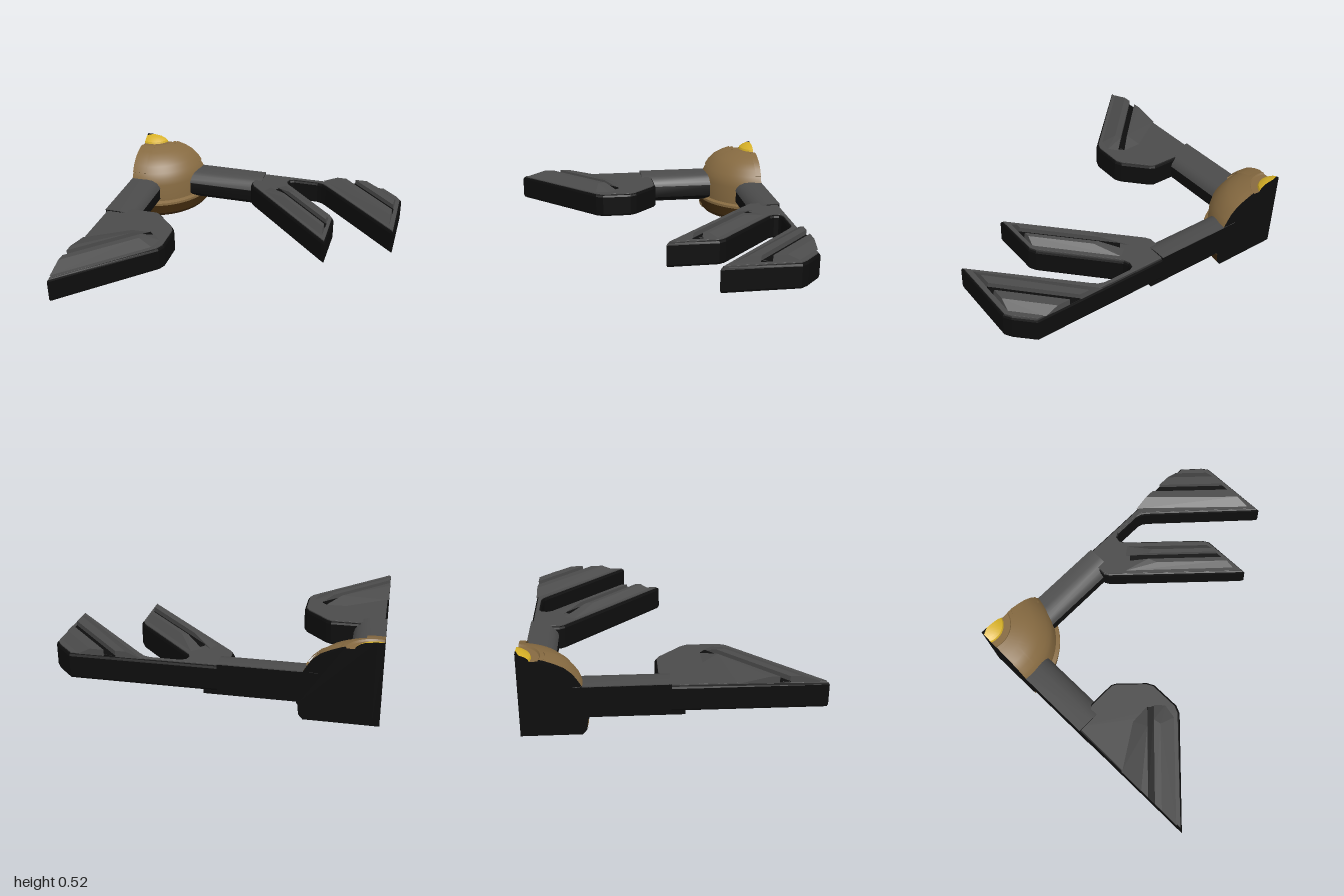
import * as THREE from 'three';
import { toCreasedNormals } from 'three/addons/utils/BufferGeometryUtils.js';
import { ConvexGeometry } from 'three/addons/geometries/ConvexGeometry.js';

const mat = (name, color, side = THREE.FrontSide) => {
  const m = new THREE.MeshStandardMaterial({ color, side });
  m.name = name;
  return m;
};

// The piece is one corner, cut along x = CUT_X and z = CUT_Z
const CUT_X = -1, CUT_Z = -0.89;
const CX = -0.955, CZ = -0.93; // hub axis
const DX = CX - CUT_X, DZ = CUT_Z - CZ;
const V2 = ([x, y]) => new THREE.Vector2(x, y);
const shapeOf = (pts) => new THREE.Shape(pts.map(V2));

// Angles where a circle of radius r meets the two cuts
const cosA = (v) => Math.acos(THREE.MathUtils.clamp(v, -1, 1));
const sinA = (v) => Math.asin(THREE.MathUtils.clamp(v, -1, 1));
const startAngle = (r) => sinA(DZ / r);
const endAngle = (r) => Math.max(startAngle(r), Math.min(cosA(-DX / r), Math.PI - startAngle(r)));

// Lathe whose sweep is bent to stay between two radius-dependent angles
function sector(profile, from = startAngle, to = endAngle, segs = 40) {
  const g = new THREE.LatheGeometry(profile.map(V2), segs, 0, 1);
  const p = g.attributes.position;
  for (let i = 0; i < p.count; i++) {
    const x = p.getX(i), z = p.getZ(i), r = Math.hypot(x, z);
    const t = Math.atan2(x, z);
    const a = to(r) + (from(r) - to(r)) * t;
    p.setXYZ(i, CX + r * Math.cos(a), p.getY(i), CZ + r * Math.sin(a));
  }
  g.computeVertexNormals();
  return toCreasedNormals(g, 0.5);
}

// Horizontal plate from an (x, z) outline
function plate(outline, y0, y1, bevel, inset) {
  const g = new THREE.ExtrudeGeometry(shapeOf(outline), {
    depth: y1 - y0 - 2 * bevel, bevelSize: bevel, bevelThickness: bevel, bevelOffset: -inset, bevelSegments: 2,
  });
  g.rotateX(Math.PI / 2);
  return g.translate(0, y1 - bevel, 0);
}

// Raised block from a foot outline and a smaller top outline, both in (x, z)
function frustum(foot, top, y0, y1) {
  return new ConvexGeometry([
    ...foot.map(([x, z]) => new THREE.Vector3(x, y0, z)),
    ...top.map(([x, z]) => new THREE.Vector3(x, y1, z)),
  ]);
}

export function createModel() {
  const grey = mat('hull grey', 0x4b4b4b);
  const black = mat('black', 0x0d0d0d, THREE.DoubleSide);
  const brown = mat('brown', 0x866a41, THREE.DoubleSide);
  const darkBrown = mat('dark brown', 0x402a0e, THREE.DoubleSide);
  const gold = mat('gold', 0xd6b026, THREE.DoubleSide);
  const model = new THREE.Group();
  const add = (name, geometry, material) => {
    const mesh = new THREE.Mesh(geometry, material);
    mesh.name = name;
    model.add(mesh);
  };

  // Hub: base, dome and cap
  const base = [[0.04, 0], [0.4, 0], [0.425, 0.03], [0.432, 0.1]];
  const dome = [[0.432, 0.1], [0.44, 0.102], [0.44, 0.12], [0.415, 0.13], [0.415, 0.26], [0.405, 0.31], [0.385, 0.345],
    [0.355, 0.39], [0.31, 0.43], [0.255, 0.457], [0.2, 0.478], [0.175, 0.485], [0.168, 0.474], [0.125, 0.474]];
  const cap = [[0.125, 0.474], [0.12, 0.488], [0.1, 0.504], [0.075, 0.516], [0.04, 0.524]];
  add('hubBase', sector(base), darkBrown);
  add('hubDome', sector(dome), brown);
  add('hubCap', sector(cap), gold);

  // Raised panels on the dome, one beside each cut
  const panel = [[0.375, 0.345], [0.39, 0.355], [0.36, 0.4], [0.315, 0.442], [0.26, 0.469], [0.2, 0.487], [0.198, 0.475]];
  add('domePanelSide', sector(panel, startAngle, (r) => sinA(0.08 / r), 6), brown);
  add('domePanelFront', sector(panel, (r) => cosA(0.06 / r), endAngle, 6), brown);
  add('basePatch', sector([[0.428, 0.025], [0.434, 0.06]], (r) => cosA(0.07 / r), endAngle, 6), brown);

  // Closed cut faces of the hub
  const whole = [...base, ...dome, ...cap];
  const backCut = whole.map(([r, y]) => [CX + Math.sqrt(Math.max(0, r * r - DZ * DZ)), y]);
  backCut.push([CUT_X, 0.524], [CUT_X, 0]);
  add('hubBackCut', new THREE.ShapeGeometry(shapeOf(backCut)).translate(0, 0, CUT_Z), black);
  const sideCut = whole.filter(([r]) => r > 0.07)
    .map(([r, y]) => [-(CZ + Math.sqrt(r * r - DX * DX)), y]);
  sideCut.push([-CUT_Z, 0.52], [-CUT_Z, 0]);
  add('hubSideCut', new THREE.ShapeGeometry(shapeOf(sideCut)).rotateY(Math.PI / 2).translate(CUT_X, 0, 0), black);

  // Arms: black core with a rounded grey shell on top
  const arm = (name, width, start, end, alongX) => {
    const w = width;
    const curve = [[0, 0.31], [w - 0.1, 0.31], [w - 0.06, 0.302], [w - 0.03, 0.285], [w - 0.008, 0.26], [w, 0.235]];
    const core = [[0, 0.12], ...curve.map(([o, y]) => [o && o - 0.004, y - 0.004]),
      [w - 0.004, 0.15], [w - 0.03, 0.12]];
    const shell = [...curve, ...curve.map(([o, y]) => [o && o - 0.006, y - 0.006]).reverse()];
    const sweep = (pts, to) => {
      const s = shapeOf(pts.map(([o, y]) => [alongX ? -CUT_Z - o : CUT_X + o, y]));
      const g = new THREE.ExtrudeGeometry(s, { depth: to - start, bevelEnabled: false }).translate(0, 0, start);
      if (alongX) g.rotateY(Math.PI / 2);
      return toCreasedNormals(g, 0.6);
    };
    add(name + 'Core', sweep(core, end), black);
    add(name + 'Shell', sweep(shell, end), grey);
    add(name + 'Keel', sweep([[0, 0.112], [w - 0.04, 0.112], [w - 0.04, 0.135], [0, 0.135]], end + 0.08), black);
  };
  arm('sideArm', 0.185, -0.65, -0.05, true);
  arm('frontArm', 0.21, -0.6, -0.02, false);

  // Forked claw on the side arm and single claw on the front arm
  const fork = [[-0.12, -0.89], [-0.12, -0.7], [-0.1, -0.665], [0.545, -0.02], [0.57, -0.005], [0.57, -0.34],
    [0.545, -0.385], [0.16, -0.77], [0.148, -0.8], [0.155, -0.83], [0.18, -0.842], [0.36, -0.842], [0.395, -0.83],
    [0.43, -0.8], [0.975, -0.268], [0.995, -0.255], [0.995, -0.74], [0.965, -0.785], [0.855, -0.89]];
  const claw = [[-1, -0.06], [-0.87, -0.07], [-0.835, -0.1], [-0.64, -0.1], [-0.605, -0.08], [-0.465, 0.065],
    [-0.443, 0.11], [-0.443, 0.31], [-0.465, 0.36], [-1, 0.89]];
  for (const [name, outline] of [['forkedClaw', fork], ['frontClaw', claw]]) {
    add(name + 'Body', plate(outline, 0.13, 0.295, 0.018, 0.018), black);
    add(name + 'Top', plate(outline, 0.285, 0.3, 0.001, 0.014), grey);
  }

  // Ridges on both sides of each groove
  const ridge = (name, foot, top) => add(name, frustum(foot, top, 0.298, 0.338), grey);
  ridge('innerProngRidgeFront',
    [[0.0, -0.61], [0.03, -0.68], [0.535, -0.175], [0.535, -0.08]],
    [[0.19, -0.48], [0.17, -0.54], [0.53, -0.18], [0.53, -0.14]]);
  ridge('innerProngRidgeBack',
    [[0.08, -0.69], [0.14, -0.735], [0.535, -0.335], [0.535, -0.235]],
    [[0.2, -0.57], [0.24, -0.57], [0.53, -0.28], [0.53, -0.24]]);
  ridge('outerProngRidgeFront',
    [[0.4, -0.89], [0.565, -0.89], [0.955, -0.5], [0.955, -0.325]],
    [[0.5, -0.89], [0.565, -0.89], [0.95, -0.505], [0.95, -0.42]]);
  ridge('outerProngRidgeBack',
    [[0.635, -0.89], [0.8, -0.89], [0.955, -0.735], [0.955, -0.57]],
    [[0.635, -0.89], [0.72, -0.89], [0.95, -0.66], [0.95, -0.575]]);
  ridge('frontClawRidgeOuter',
    [[-1, 0.66], [-0.54, 0.2], [-0.49, 0.26], [-0.51, 0.36], [-1, 0.85]],
    [[-1, 0.66], [-0.62, 0.28], [-0.61, 0.33], [-1, 0.72]]);
  ridge('frontClawRidgeInner',
    [[-1, 0.36], [-0.72, 0.18], [-0.575, 0.175], [-1, 0.6]],
    [[-1, 0.54], [-0.68, 0.28], [-1, 0.6]]);

  // Black strips lying in the grooves
  const grooves = {
    innerProngGroove: [[0.07, -0.62], [0.11, -0.665], [0.535, -0.24], [0.535, -0.175]],
    outerProngGroove: [[0.565, -0.89], [0.635, -0.89], [0.955, -0.57], [0.955, -0.5]],
    frontClawGroove: [[-1, 0.6], [-0.585, 0.185], [-0.555, 0.215], [-1, 0.66]],
  };
  for (const [name, outline] of Object.entries(grooves)) add(name, plate(outline, 0.299, 0.307, 0.001, 0), black);

  return model;
}
